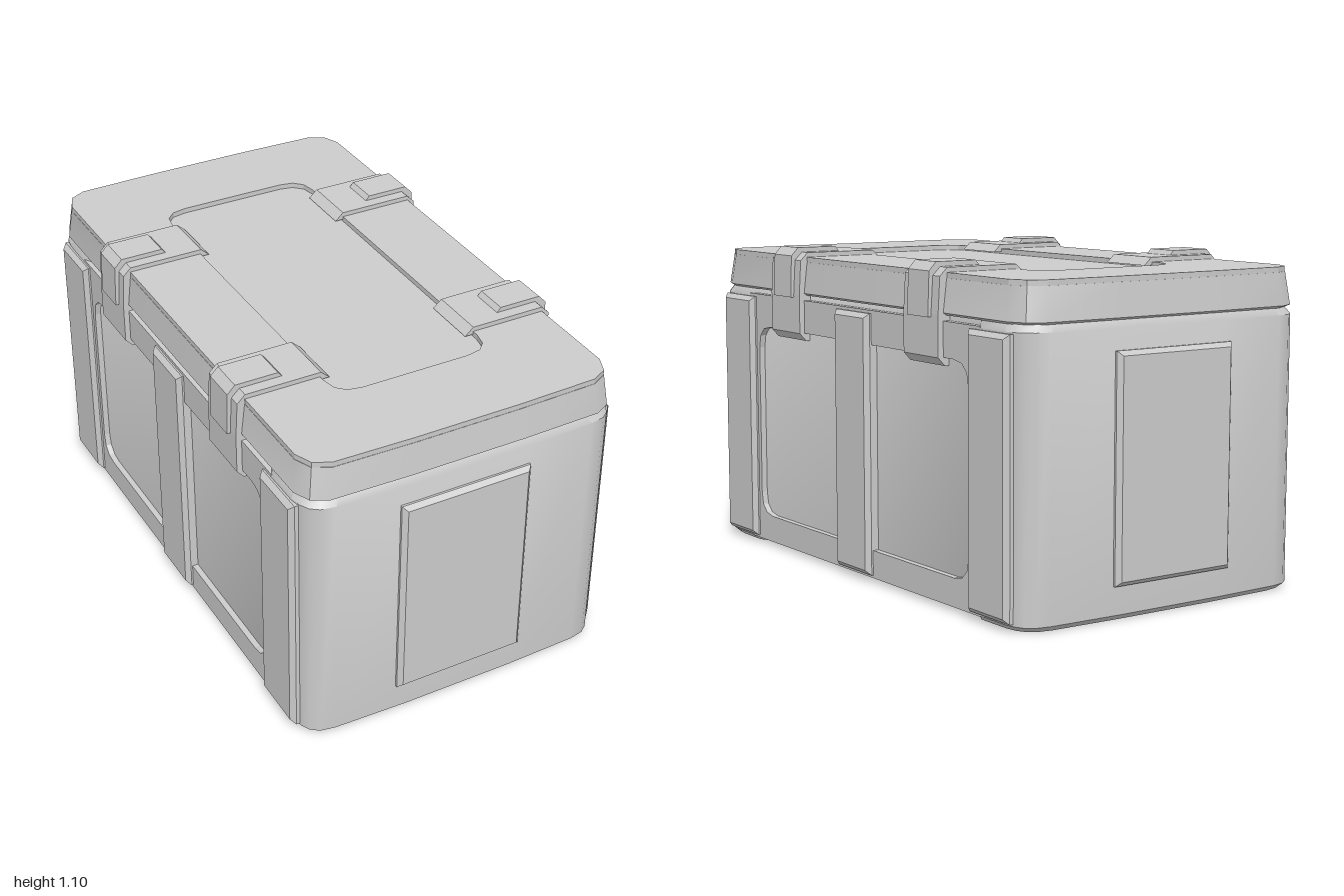
import * as THREE from 'three';
import { toCreasedNormals } from 'three/addons/utils/BufferGeometryUtils.js';

const material = new THREE.MeshStandardMaterial({ color: 0xcccccc });

function addMesh(parent, name, geometry) {
  const mesh = new THREE.Mesh(geometry, material);
  mesh.name = name;
  parent.add(mesh);
  return mesh;
}

// Mirrors a quarter outline [x, z] (from the side round to the end) into a closed plan
function fullPlan(quarter) {
  const back = [...quarter].reverse();
  return [
    ...quarter,
    ...back.map(([x, z]) => [-x, z]),
    ...quarter.map(([x, z]) => [-x, -z]),
    ...back.map(([x, z]) => [x, -z]),
  ];
}

const insetPlan = (plan, d) => plan.map(([x, z]) => [x - Math.sign(x) * d, z - Math.sign(z) * d]);

// Stacks a plan at levels [y, inset] and closes both ends
function loft(plan, levels) {
  const n = plan.length, pos = [], index = [];
  for (const [y, d] of levels) for (const [x, z] of insetPlan(plan, d)) pos.push(x, y, z);
  const bottom = pos.length / 3, top = bottom + 1, last = (levels.length - 1) * n;
  pos.push(0, levels[0][0], 0, 0, levels[levels.length - 1][0], 0);
  for (let i = 0; i < n; i++) {
    const j = (i + 1) % n;
    for (let k = 0; k < last; k += n) {
      index.push(k + i, k + n + i, k + j, k + j, k + n + i, k + n + j);
    }
    index.push(bottom, i, j, top, last + j, last + i);
  }
  const g = new THREE.BufferGeometry();
  g.setAttribute('position', new THREE.Float32BufferAttribute(pos, 3));
  g.setIndex(index);
  return toCreasedNormals(g, 0.6);
}

// Rectangle with softened corners, drawn on a Shape or a Path
function softRect(path, x0, y0, x1, y1, r) {
  path.moveTo(x0 + r, y0);
  path.lineTo(x1 - r, y0);
  path.quadraticCurveTo(x1, y0, x1, y0 + r);
  path.lineTo(x1, y1 - r);
  path.quadraticCurveTo(x1, y1, x1 - r, y1);
  path.lineTo(x0 + r, y1);
  path.quadraticCurveTo(x0, y1, x0, y1 - r);
  path.lineTo(x0, y0 + r);
  path.quadraticCurveTo(x0, y0, x0 + r, y0);
  return path;
}

const extrude = (shape, depth) =>
  new THREE.ExtrudeGeometry(shape, { depth, bevelEnabled: false, curveSegments: 3 });

// Raised rectangular pad facing +z with a chamfered rim, back at z = 0
function pad(w, h, thickness, bevel) {
  const a = w / 2 - bevel, b = h / 2 - bevel;
  const shape = new THREE.Shape([[-a, -b], [a, -b], [a, b], [-a, b]].map(p => new THREE.Vector2(...p)));
  return new THREE.ExtrudeGeometry(shape, {
    depth: thickness - bevel, bevelThickness: bevel, bevelSize: bevel, bevelSegments: 1,
  });
}

// Bent strap: an x-y profile given a width along z
function strap(points, width) {
  const shape = new THREE.Shape(points.map(p => new THREE.Vector2(...p)));
  return extrude(shape, width).translate(0, 0, -width / 2);
}

function createSide() {
  const side = new THREE.Group();

  // Side wall skin with a sunken window
  const wall = softRect(new THREE.Shape(), -0.74, 0.015, 0.74, 0.92, 0.001);
  wall.holes.push(softRect(new THREE.Path(), -0.67, 0.11, 0.675, 0.805, 0.08));
  addMesh(side, 'sideWall', extrude(wall, 0.021).rotateY(Math.PI / 2).translate(0.54, 0, 0));

  // Upright ribs
  for (const z of [-0.797, 0, 0.797]) {
    const rib = addMesh(side, 'sideRib', pad(0.215, 0.885, 0.05, 0.016));
    rib.rotation.y = Math.PI / 2;
    rib.position.set(0.533, 0.467, z);
  }

  // Latches folded over the lid edge
  const band = [[0.25, 1.06], [0.28, 1.087], [0.545, 1.087], [0.573, 1.06], [0.58, 0.94],
    [0.58, 0.805], [0.555, 0.778], [0.535, 0.778], [0.535, 1.04], [0.5, 1.06]];
  const clasp = [[0.39, 1.08], [0.41, 1.103], [0.56, 1.103], [0.587, 1.075], [0.592, 0.93],
    [0.56, 0.93], [0.55, 1.06], [0.53, 1.08]];
  for (const z of [-0.4375, 0.4375]) {
    const latch = new THREE.Group();
    latch.name = 'latch';
    latch.position.z = z;
    addMesh(latch, 'latchBand', strap(band, 0.2));
    addMesh(latch, 'latchClasp', strap(clasp, 0.12));
    side.add(latch);
  }
  return side;
}

export function createModel() {
  const model = new THREE.Group();
  model.name = 'storageCase';

  // Body, stepped in along the sides to receive the wall skins
  const corner = [[0.56, 0.87], [0.553, 0.91], [0.537, 0.94], [0.51, 0.96], [0.46, 0.97], [0.2, 0.978]];
  const bodyPlan = fullPlan([[0.54, 0.1], [0.54, 0.7], [0.561, 0.74], ...corner]);
  addMesh(model, 'body', loft(bodyPlan, [[0, 0.018], [0.018, 0], [0.915, 0], [0.935, 0.012], [0.95, 0.02]]));

  // Lid: tapered skirt, sunken floor and top plate with a window
  const lidPlan = fullPlan([[0.561, 0.1], [0.56, 0.88], [0.535, 0.94], [0.48, 0.968], [0.2, 0.975]]);
  addMesh(model, 'lid', loft(lidPlan, [[0.937, 0.012], [0.945, 0], [1.053, 0.013]]));
  const plate = new THREE.Shape(insetPlan(lidPlan, 0.014).map(([x, z]) => new THREE.Vector2(x, -z)));
  plate.holes.push(softRect(new THREE.Path(), -0.283, -0.65, 0.28, 0.66, 0.09));
  addMesh(model, 'lidTop', extrude(plate, 0.019).rotateX(-Math.PI / 2).translate(0, 1.052, 0));

  // Both long sides
  for (const [name, turn] of [['leftSide', 0], ['rightSide', Math.PI]]) {
    const side = createSide();
    side.name = name;
    side.rotation.y = turn;
    model.add(side);
  }

  // End panels, front and back
  for (const [name, s] of [['frontPanel', 1], ['backPanel', -1]]) {
    const panel = addMesh(model, name, pad(0.466, 0.735, 0.05, 0.015));
    panel.rotation.y = s > 0 ? 0 : Math.PI;
    panel.position.set(-0.008, 0.478, s * 0.95);
  }
  return model;
}
